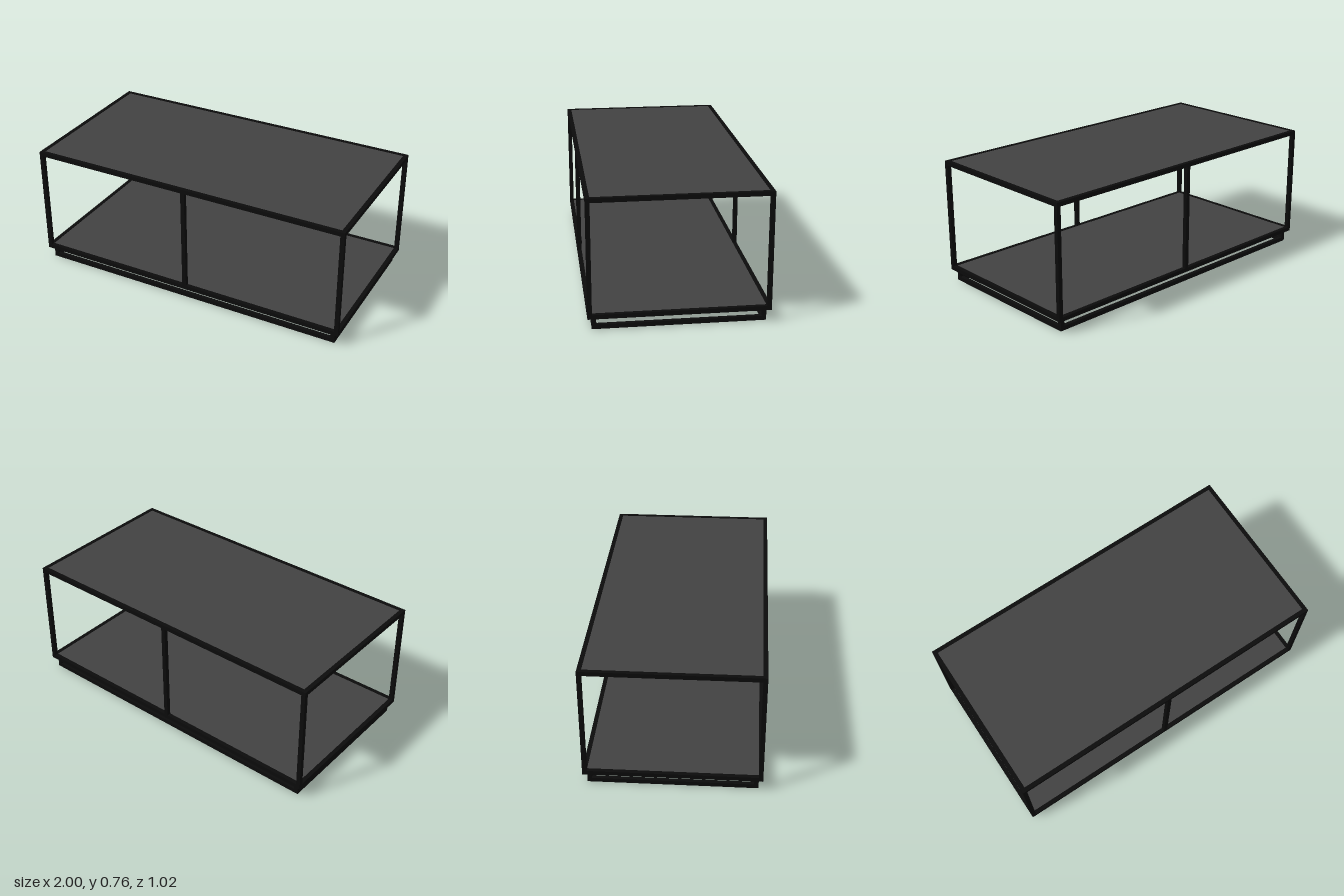
import * as THREE from 'three';

const T = 0.025; // square tube thickness

export function createModel() {
  const model = new THREE.Group();
  const metal = new THREE.MeshStandardMaterial({ color: 0x0b0b0b });
  const board = new THREE.MeshStandardMaterial({ color: 0x424242 });

  function box(parent, name, size, pos, material = metal) {
    const mesh = new THREE.Mesh(new THREE.BoxGeometry(...size), material);
    mesh.name = name;
    mesh.position.set(...pos);
    parent.add(mesh);
    return mesh;
  }

  // Rectangular ring of tubes, hx and hz are the outer half sizes
  function ring(name, hx, hz, y) {
    const group = new THREE.Group();
    group.name = name;
    for (const s of [-1, 1]) {
      box(group, 'longRail', [2 * hx, T, T], [0, y, s * (hz - T / 2)]);
      box(group, 'sideRail', [T, T, 2 * (hz - T)], [s * (hx - T / 2), y, 0]);
    }
    model.add(group);
  }

  // Upright tubes at the given x positions, front and back
  function posts(name, xs, hz, y0, y1) {
    const group = new THREE.Group();
    group.name = name;
    for (const x of xs)
      for (const s of [-1, 1])
        box(group, 'post', [T, y1 - y0, T], [x, (y0 + y1) / 2, s * (hz - T / 2)]);
    model.add(group);
  }

  // Main open frame
  const hx = 1, hz = 0.508, bottom = 0.07, top = 0.758;
  const levels = { lowerShelf: bottom + T / 2, topShelf: top - T / 2 };
  posts('framePosts', [-hx + T / 2, 0, hx - T / 2], hz, bottom + T, top - T);
  for (const [name, y] of Object.entries(levels)) {
    ring(name + 'Frame', hx, hz, y);
    box(model, name, [2 * (hx - T), T - 0.004, 2 * (hz - T)], [0, y, 0], board);
  }

  // Small studs on the inner faces of the middle posts
  for (const s of [-1, 1])
    for (const y of [0.14, 0.688])
      box(model, 'stud', [0.014, 0.014, 0.005], [0, y, s * (hz - T - 0.0025)]);

  // Recessed plinth
  const px = 0.973, pz = 0.484;
  ring('plinthFrame', px, pz, T / 2);
  posts('plinthPosts', [-px + T / 2, px - T / 2], pz, T, bottom);

  return model;
}
